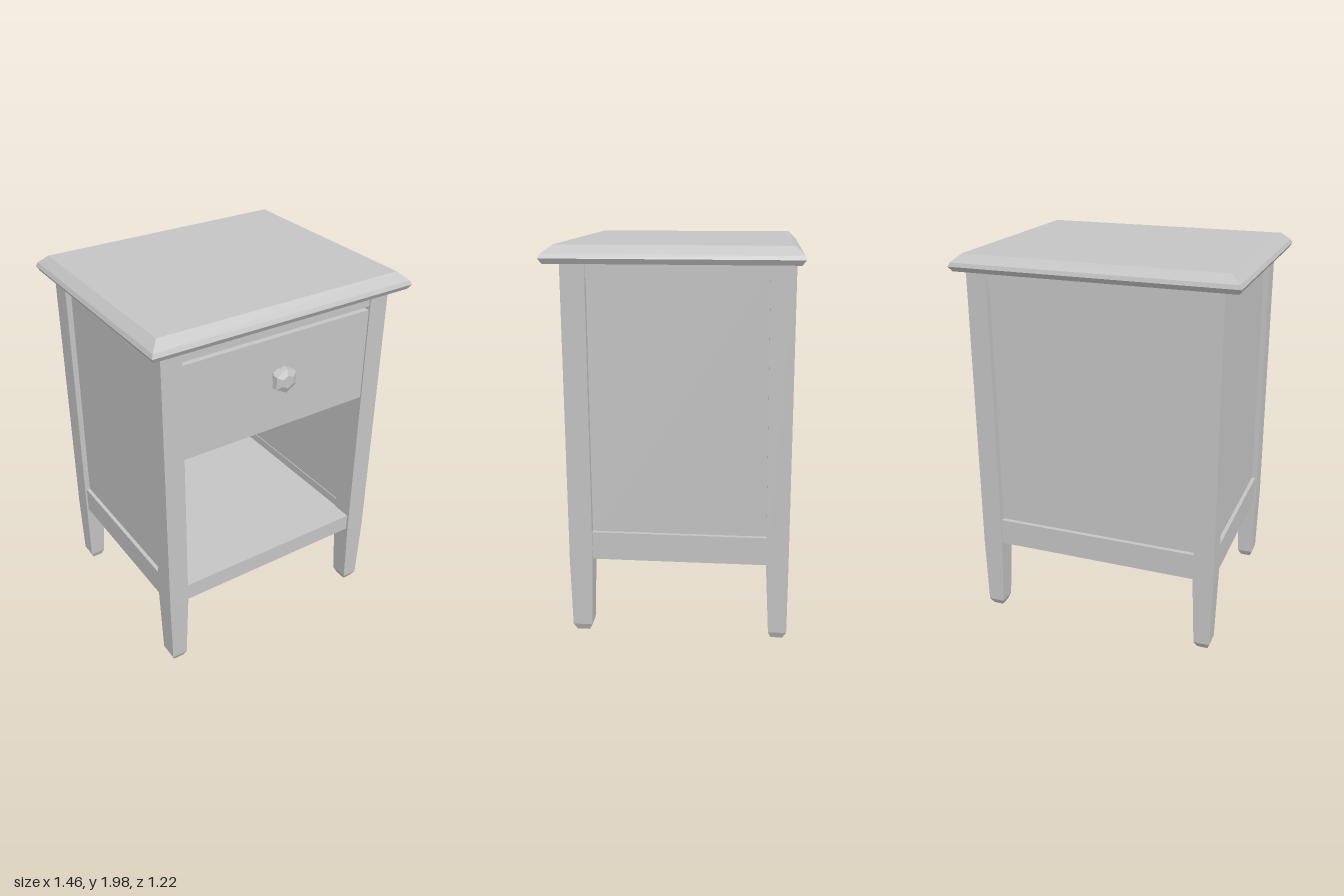
import * as THREE from 'three';

const paint = new THREE.MeshStandardMaterial({ color: 0xc4c4c4 });
paint.name = 'grey paint';

// Stack of rectangular cross-sections, each [y, x0, x1, z0, z1], from bottom to top
function loft(name, levels) {
  const n = levels.length - 1;
  let g = new THREE.BoxGeometry(1, 1, 1, 1, n, 1);
  const p = g.attributes.position;
  for (let i = 0; i < p.count; i++) {
    const [y, x0, x1, z0, z1] = levels[Math.round((p.getY(i) + 0.5) * n)];
    p.setXYZ(i, p.getX(i) < 0 ? x0 : x1, y, p.getZ(i) < 0 ? z0 : z1);
  }
  g = g.toNonIndexed();
  g.computeVertexNormals();
  const mesh = new THREE.Mesh(g, paint);
  mesh.name = name;
  return mesh;
}

const box = (name, x0, x1, y0, y1, z0, z1) =>
  loft(name, [[y0, x0, x1, z0, z1], [y1, x0, x1, z0, z1]]);

export function createModel() {
  const model = new THREE.Group();
  model.name = 'nightstand';

  // Table top with a bevelled edge
  model.add(loft('tableTop', [
    [1.91, -0.715, 0.71, -0.595, 0.595],
    [1.935, -0.73, 0.725, -0.613, 0.61],
    [1.955, -0.72, 0.715, -0.607, 0.60],
    [1.995, -0.675, 0.67, -0.565, 0.55],
  ]));

  for (const s of [-1, 1]) {
    const side = s > 0 ? 'left' : 'right';
    // Order the two x limits for either side
    const xs = (a, b) => (s > 0 ? [a, b] : [-b, -a]);

    // Tapered legs with chamfered feet
    model.add(loft(side + 'FrontLeg', [
      [0.015, ...xs(0.57, 0.625), 0.44, 0.505],
      [0.05, ...xs(0.555, 0.64), 0.422, 0.522],
      [0.42, ...xs(0.54, 0.648), 0.41, 0.528],
      [1.91, ...xs(0.54, 0.648), 0.41, 0.528],
    ]));
    model.add(loft(side + 'BackLeg', [
      [0.015, ...xs(0.57, 0.625), -0.56, -0.5],
      [0.05, ...xs(0.555, 0.64), -0.58, -0.487],
      [0.42, ...xs(0.54, 0.648), -0.58, -0.468],
      [1.91, ...xs(0.54, 0.648), -0.575, -0.455],
    ]));

    // Side rails and recessed panel
    model.add(box(side + 'BottomRail', ...xs(0.545, 0.638), 0.42, 0.565, -0.48, 0.42));
    model.add(box(side + 'TopRail', ...xs(0.545, 0.638), 1.84, 1.915, -0.48, 0.42));
    model.add(box(side + 'Panel', ...xs(0.55, 0.618), 0.5, 1.9, -0.48, 0.43));
  }

  // Back rails and recessed panel
  model.add(box('backBottomRail', -0.55, 0.55, 0.42, 0.56, -0.568, -0.48));
  model.add(box('backTopRail', -0.55, 0.55, 1.84, 1.915, -0.565, -0.48));
  model.add(box('backPanel', -0.555, 0.555, 0.5, 1.9, -0.545, -0.48));

  // Shelf floor, ending in the front rail
  model.add(box('shelf', -0.56, 0.56, 0.42, 0.515, -0.5, 0.515));

  // Drawer body, front and the rail above it
  model.add(box('drawerBody', -0.55, 0.55, 1.31, 1.9, -0.49, 0.49));
  model.add(box('drawerFront', -0.541, 0.541, 1.31, 1.81, 0.48, 0.52));
  model.add(box('frontTopRail', -0.545, 0.545, 1.83, 1.915, 0.48, 0.52));

  // Faceted knob
  const profile = [[0, 0], [0.04, 0], [0.035, 0.03], [0.07, 0.045], [0.065, 0.07], [0.035, 0.085], [0, 0.085]];
  let kg = new THREE.LatheGeometry(profile.map(([r, y]) => new THREE.Vector2(r, y)), 6).toNonIndexed();
  kg.computeVertexNormals();
  const knob = new THREE.Mesh(kg, paint);
  knob.name = 'knob';
  knob.rotation.x = Math.PI / 2;
  knob.position.set(-0.005, 1.605, 0.515);
  model.add(knob);

  return model;
}
